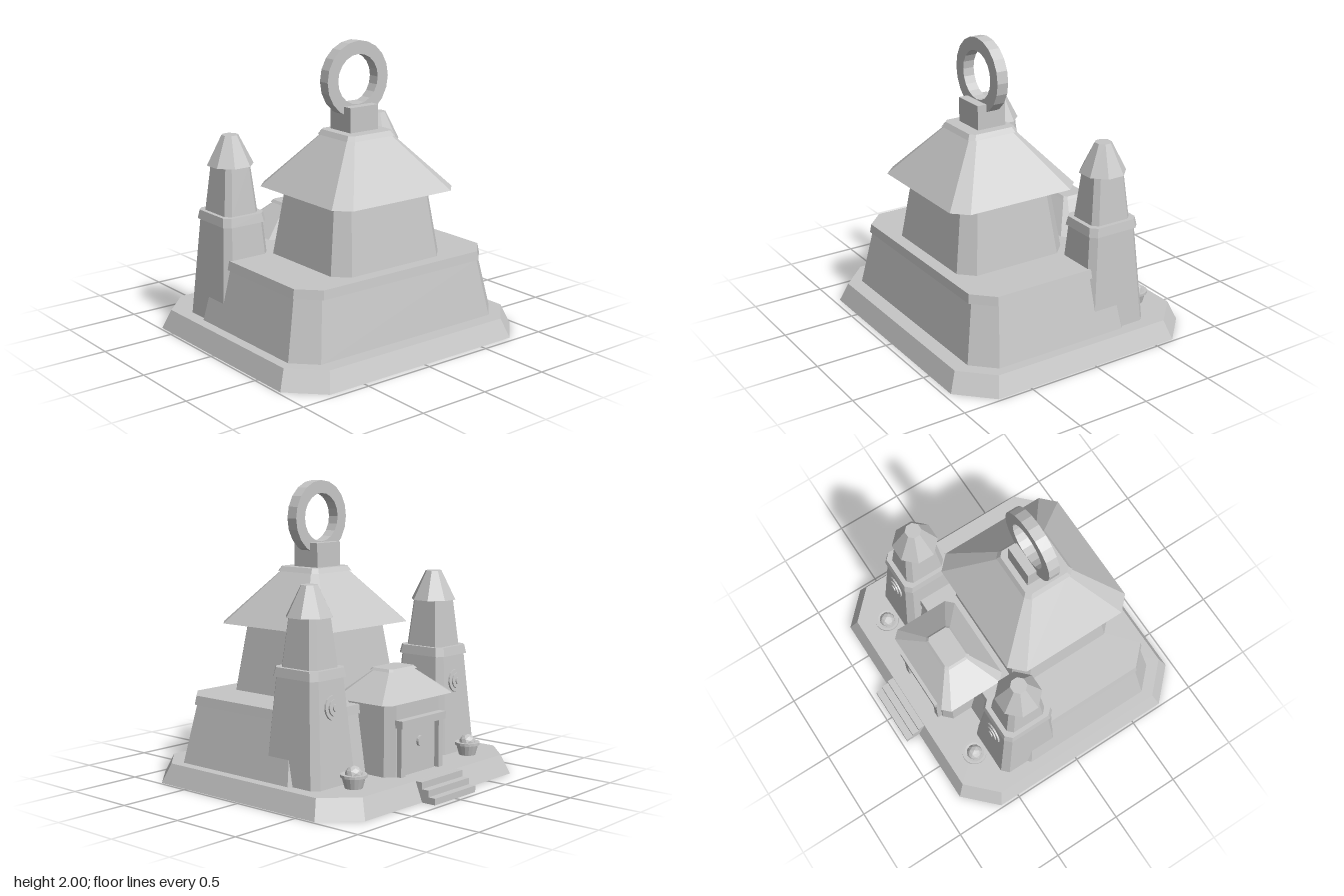
import * as THREE from 'three';

// Double-sided because the plinth is a hollow shell, open underneath
const stone = new THREE.MeshStandardMaterial({ color: 0xc6c6c6, side: THREE.DoubleSide });
stone.name = 'stone grey';

// Faceted look: every face keeps its own normal
function flat(geo) {
  const g = geo.index ? geo.toNonIndexed() : geo;
  g.computeVertexNormals();
  return g;
}

function add(parent, name, geo, x = 0, y = 0, z = 0) {
  const m = new THREE.Mesh(flat(geo), stone);
  m.name = name;
  m.position.set(x, y, z);
  parent.add(m);
  return m;
}

// Rectangle with cut corners, lofted through sections [y, halfX, halfZ, cut]
function loft(sections, openBottom = false) {
  const rings = sections.map(([y, hx, hz, c]) => [
    [hx, -hz + c], [hx, hz - c], [hx - c, hz], [-hx + c, hz],
    [-hx, hz - c], [-hx, -hz + c], [-hx + c, -hz], [hx - c, -hz],
  ].map(([x, z]) => [x, y, z]));
  const pos = [];
  const tri = (...pts) => pts.forEach((p) => pos.push(...p));
  const last = rings.length - 1;
  for (let i = 0; i < 8; i++) {
    const j = (i + 1) % 8;
    for (let k = 0; k < last; k++) {
      const [a, b, c, d] = [rings[k][i], rings[k][j], rings[k + 1][i], rings[k + 1][j]];
      tri(a, c, b);
      tri(b, c, d);
    }
    if (!openBottom) tri([0, sections[0][0], 0], rings[0][i], rings[0][j]);
    tri([0, sections[last][0], 0], rings[last][j], rings[last][i]);
  }
  const g = new THREE.BufferGeometry();
  g.setAttribute('position', new THREE.Float32BufferAttribute(pos, 3));
  return g;
}

const box = (w, h, d) => new THREE.BoxGeometry(w, h, d);

function makeTower() {
  const t = new THREE.Group();
  add(t, 'towerLowerBody', loft([[0.13, 0.205, 0.237, 0.045], [0.8, 0.155, 0.18, 0.04]]));
  add(t, 'towerBand', loft([[0.8, 0.168, 0.193, 0.04], [0.86, 0.158, 0.182, 0.04]]));
  add(t, 'towerUpperBody', loft([[0.86, 0.13, 0.15, 0.035], [1.18, 0.097, 0.117, 0.03]]));
  const spire = new THREE.CylinderGeometry(0.056, 0.157, 0.2, 8);
  spire.rotateY(Math.PI / 8);
  add(t, 'towerSpire', spire, 0, 1.275, 0);

  // Stepped round medallion on the sloping back wall
  const medallion = new THREE.Group();
  medallion.name = 'medallion';
  [[0.08, 0.012], [0.054, 0.022], [0.025, 0.03]].forEach(([r, depth]) => {
    const disc = new THREE.CylinderGeometry(r, r, depth + 0.02, 16);
    disc.rotateX(Math.PI / 2);
    add(medallion, 'medallionDisc', disc, 0, 0, -(depth - 0.02) / 2);
  });
  medallion.position.set(0, 0.622, -0.195);
  medallion.rotation.x = 0.085;
  t.add(medallion);
  return t;
}

function makeUrn() {
  const u = new THREE.Group();
  const profile = [[0, 0], [0.057, 0], [0.076, 0.07], [0.086, 0.07], [0.086, 0.088], [0.07, 0.088], [0, 0.08]]
    .map(([r, y]) => new THREE.Vector2(r, y));
  add(u, 'urnBowl', new THREE.LatheGeometry(profile, 16));
  add(u, 'urnBall', new THREE.IcosahedronGeometry(0.056, 1), 0, 0.085, 0);
  return u;
}

function makePorch() {
  const p = new THREE.Group();
  p.name = 'porch';
  add(p, 'porchWalls', loft([[0.13, 0.285, 0.21, 0.055], [0.61, 0.275, 0.205, 0.055]]), 0, 0, -0.445);
  add(p, 'porchRoof', loft([[0.61, 0.355, 0.247, 0.05], [0.783, 0.125, 0.085, 0.02]]), 0, 0, -0.445);
  add(p, 'porchRoofCap', loft([[0.783, 0.142, 0.1, 0.022], [0.8, 0.127, 0.085, 0.02]]), 0, 0, -0.445);
  // Door with frame
  add(p, 'lintel', box(0.455, 0.05, 0.08), 0, 0.475, -0.665);
  for (const s of [-1, 1]) add(p, 'doorPillar', box(0.045, 0.32, 0.06), s * 0.195, 0.29, -0.66);
  add(p, 'door', box(0.32, 0.31, 0.03), 0, 0.285, -0.65);
  const knob = new THREE.CylinderGeometry(0.035, 0.035, 0.03, 12);
  knob.rotateX(Math.PI / 2);
  add(p, 'doorKnob', knob, 0, 0.335, -0.668);
  return p;
}

// Stair profile leaning on the sloping plinth wall, drawn as (distance back, height)
function makeStairs() {
  const profile = [[0.858, 0], [0.96, 0], [0.96, 0.043], [0.908, 0.043], [0.908, 0.086],
    [0.855, 0.086], [0.855, 0.13], [0.806, 0.13]].map(([x, y]) => new THREE.Vector2(x, y));
  const g = new THREE.ExtrudeGeometry(new THREE.Shape(profile), { depth: 0.43, bevelEnabled: false });
  return g.translate(0, 0, -0.215).rotateY(Math.PI / 2);
}

export function createModel() {
  const model = new THREE.Group();
  model.name = 'shrine';

  // Hollow plinth and stairs
  add(model, 'plinth', loft([[0, 0.982, 0.907, 0.215], [0.13, 0.928, 0.854, 0.2]], true), 0, 0, 0.05);
  add(model, 'stairs', makeStairs());

  // Main hall
  add(model, 'lowerStorey', loft([[0.13, 0.86, 0.625, 0.145], [0.52, 0.778, 0.555, 0.125]]), 0, 0, 0.177);
  add(model, 'lowerStoreyBand', loft([[0.52, 0.79, 0.573, 0.135], [0.58, 0.778, 0.565, 0.132]]), 0, 0, 0.179);
  add(model, 'upperStorey', loft([[0.58, 0.455, 0.407, 0.095], [1.035, 0.388, 0.339, 0.078]]), 0, 0, 0.252);
  add(model, 'mainRoof', loft([[1.035, 0.502, 0.476, 0.095], [1.39, 0.185, 0.17, 0.035]]), 0, 0, 0.253);
  add(model, 'roofCap', loft([[1.385, 0.2, 0.188, 0.035], [1.418, 0.178, 0.167, 0.03]]), 0, 0, 0.253);
  add(model, 'ringBlock', box(0.23, 0.165, 0.21), 0, 1.5, 0.23);

  // Hanging ring
  const shape = new THREE.Shape().absarc(0, 0, 0.25, 0, Math.PI * 2);
  shape.holes.push(new THREE.Path().absarc(0, 0, 0.164, 0, Math.PI * 2, true));
  const ring = new THREE.ExtrudeGeometry(shape, { depth: 0.08, bevelEnabled: false, curveSegments: 10 });
  add(model, 'hangingRing', ring, 0, 1.75, 0.19);

  model.add(makePorch());

  // Mirrored towers and urns
  for (const s of [-1, 1]) {
    const tower = makeTower();
    tower.name = s > 0 ? 'leftTower' : 'rightTower';
    tower.position.set(s * 0.633, 0, -0.284);
    const urn = makeUrn();
    urn.name = s > 0 ? 'leftUrn' : 'rightUrn';
    urn.position.set(s * 0.595, 0.13, -0.617);
    model.add(tower, urn);
  }
  return model;
}
